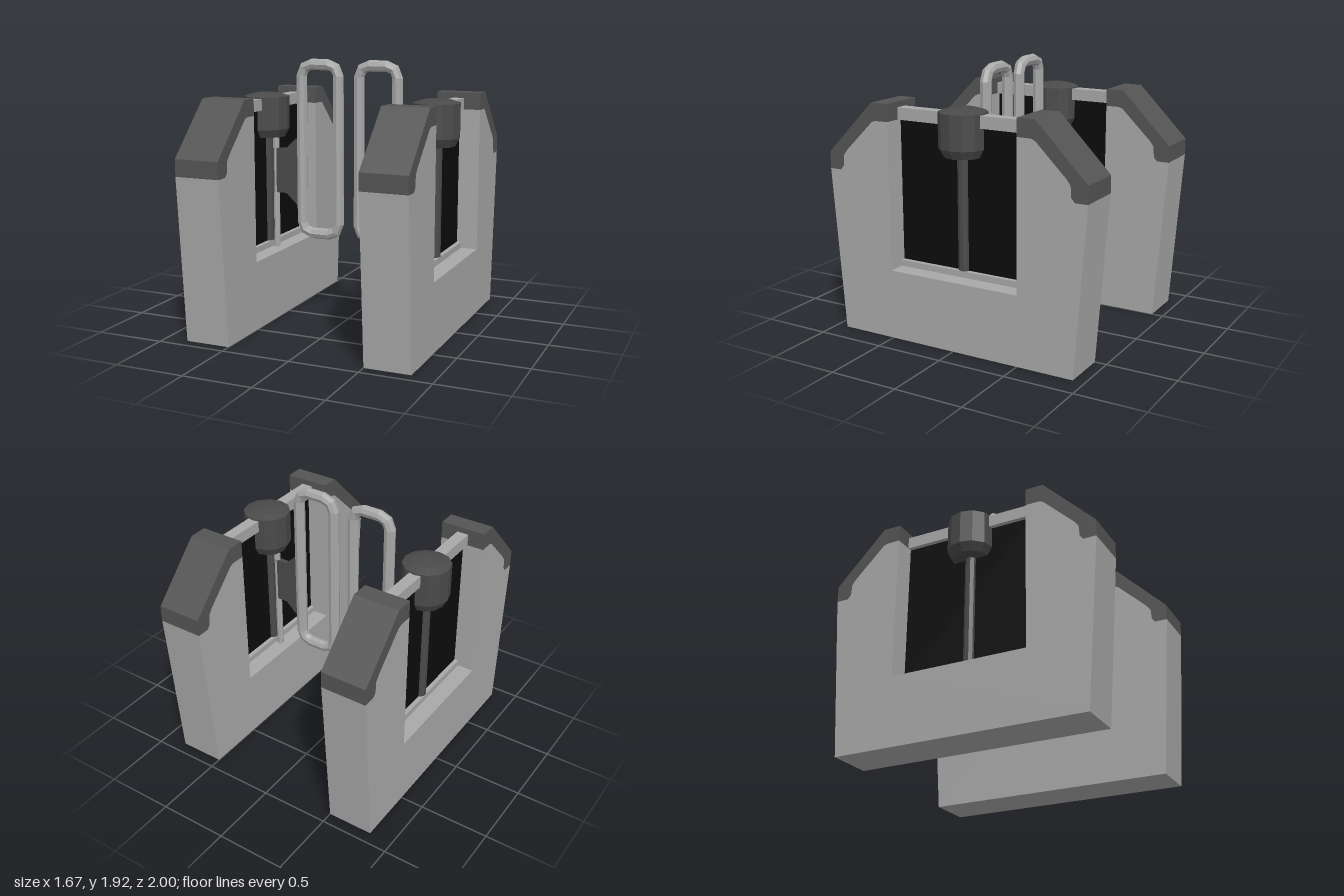
import * as THREE from 'three';

const mat = (name, color) => {
  const m = new THREE.MeshStandardMaterial({ color, flatShading: true });
  m.name = name;
  return m;
};

// Rounded-rectangle loop swept with a round section: one ring per corner step.
function loopTube(cx, cy, halfW, halfH, bend, r, sides = 8, steps = 2) {
  const pos = [], index = [];
  for (let c = 0; c < 4; c++) {
    const ox = cx + (c === 0 || c === 3 ? 1 : -1) * (halfW - bend);
    const oy = cy + (c < 2 ? 1 : -1) * (halfH - bend);
    for (let s = 0; s <= steps; s++) {
      const a = (c + s / steps) * Math.PI / 2;
      for (let k = 0; k < sides; k++) {
        const b = (k / sides) * Math.PI * 2, d = bend + r * Math.cos(b);
        pos.push(ox + d * Math.cos(a), oy + d * Math.sin(a), r * Math.sin(b));
      }
    }
  }
  const rings = 4 * (steps + 1);
  for (let i = 0; i < rings; i++) {
    for (let k = 0; k < sides; k++) {
      const n = ((i + 1) % rings) * sides, m = i * sides, k2 = (k + 1) % sides;
      index.push(m + k, n + k, n + k2, m + k, n + k2, m + k2);
    }
  }
  const g = new THREE.BufferGeometry();
  g.setAttribute('position', new THREE.Float32BufferAttribute(pos, 3));
  g.setIndex(index);
  g.computeVertexNormals();
  return g;
}

export function createModel() {
  const lightGrey = mat('lightGrey', 0xa8a8a8);
  const darkGrey = mat('darkGrey', 0x545454);
  const headGrey = mat('headGrey', 0x4a4a4a);
  const black = mat('black', 0x0c0c0c);

  const X = 0.665, W = 0.33; // pillar centre and width
  const half = new THREE.Group();
  const add = (name, geo, material, x = 0, y = 0, z = 0) => {
    const m = new THREE.Mesh(geo, material);
    m.name = name;
    m.position.set(x, y, z);
    half.add(m);
  };
  // Side profile given as (z, y), extruded across the pillar width
  const slab = (pts) => {
    const shape = new THREE.Shape(pts.map(([z, y]) => new THREE.Vector2(z, y)));
    return new THREE.ExtrudeGeometry(shape, { depth: W, bevelEnabled: false })
      .translate(0, 0, -W / 2).rotateY(-Math.PI / 2);
  };
  const flip = (pts) => pts.map(([z, y]) => [-z, y]).reverse();

  // U-shaped pillar body; seam is the border between body and cap
  const seam = [[1, 1.175], [0.91, 1.175], [0.885, 1.205], [0.88, 1.28], [0.85, 1.32], [0.63, 1.535], [0.6, 1.547], [0.5, 1.547]];
  const side = [[0.915, 0], ...seam, [0.5, 0.5]];
  add('pillarBody', slab([...side, ...flip(side)]), lightGrey, X);

  // Sloping caps on both ends
  const cap = [[1, 1.295], [0.63, 1.67], [0.5, 1.67], ...[...seam].reverse()];
  add('frontCap', slab(cap), darkGrey, X);
  add('backCap', slab(flip(cap)), darkGrey, X);

  // Dark panel with rails along its top and bottom
  add('panel', new THREE.BoxGeometry(0.02, 1.05, 1), black, X, 1.045, 0);
  add('topRail', new THREE.BoxGeometry(0.085, 0.085, 1), lightGrey, X, 1.588, 0);
  add('bottomRail', new THREE.BoxGeometry(0.085, 0.045, 1), lightGrey, X, 0.522, 0);

  // Post with a domed head
  add('post', new THREE.CylinderGeometry(0.043, 0.043, 0.86, 10), headGrey, X, 0.93, 0);
  const profile = [[0, 1.34], [0.135, 1.34], [0.168, 1.4], [0.168, 1.64], [0.1, 1.662], [0, 1.67]]
    .map(([r, y]) => new THREE.Vector2(r, y));
  add('postHead', new THREE.LatheGeometry(profile, 12), headGrey, X);

  // Hinge rod and the bracket that carries the gate
  add('hingeRod', new THREE.CylinderGeometry(0.024, 0.024, 0.9, 8), lightGrey, 0.59, 0.95, 0);
  const bracket = new THREE.Shape([[0.615, 0.92], [0.615, 1.255], [0.5, 1.255], [0.415, 1.335], [0.37, 1.335],
    [0.37, 0.84], [0.415, 0.84], [0.5, 0.92]].map(([x, y]) => new THREE.Vector2(x, y)));
  add('bracket', new THREE.ExtrudeGeometry(bracket, { depth: 0.04, bevelEnabled: false }).translate(0, 0, -0.02), headGrey);

  // Gate loop
  add('gateLoop', loopTube(0.227, 1.255, 0.146, 0.625, 0.08, 0.041), lightGrey);

  // Both halves are symmetric front to back, so a half turn makes the other one
  half.name = 'leftGate';
  const other = half.clone();
  other.name = 'rightGate';
  other.rotation.y = Math.PI;
  const model = new THREE.Group();
  model.name = 'gate';
  model.add(half, other);
  return model;
}
